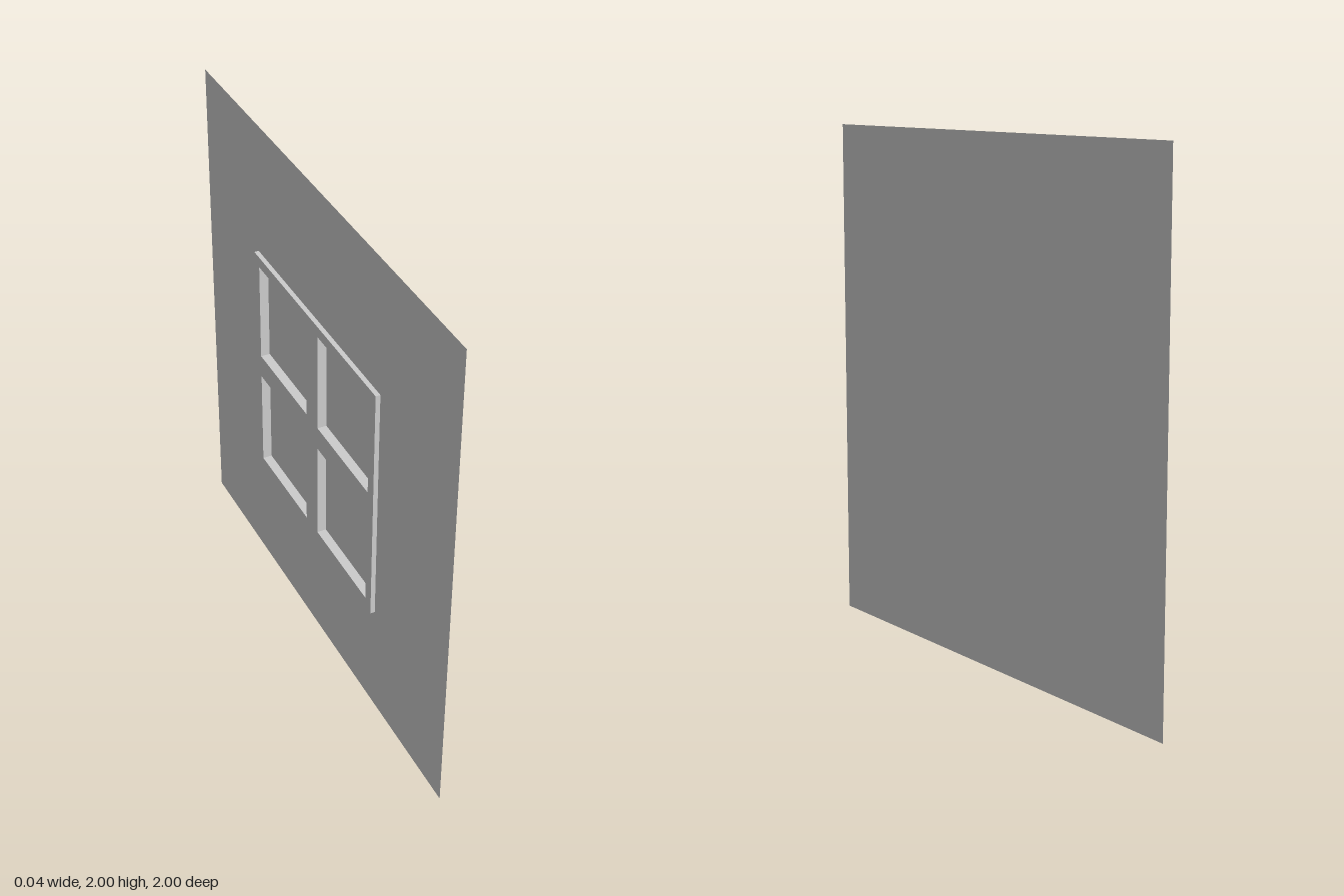
import * as THREE from 'three';

const DEPTH = 0.018;   // half of the total thickness
const FRAME = 0.495;   // half size of the window frame
const PANE = 0.405;    // side of one pane opening
const OFFSET = 0.25;   // pane centre from window centre

// Square outline centred on (x, y)
function square(PathType, x, y, half) {
  const corners = [[-1, -1], [1, -1], [1, 1], [-1, 1]];
  return new PathType(corners.map(([a, b]) => new THREE.Vector2(x + a * half, y + b * half)));
}

export function createModel() {
  const group = new THREE.Group();
  const wallMaterial = new THREE.MeshStandardMaterial({ color: 0xcccccc, side: THREE.DoubleSide });
  const frameMaterial = new THREE.MeshStandardMaterial({ color: 0xcccccc, flatShading: true });
  const revealMaterial = new THREE.MeshStandardMaterial({ color: 0xcccccc, flatShading: true, side: THREE.BackSide });

  const add = (name, geometry, material, x, y, z) => {
    const mesh = new THREE.Mesh(geometry, material);
    mesh.name = name;
    mesh.position.set(x, y, z);
    group.add(mesh);
  };

  // Thin wall panel, which also closes the panes
  add('wallPanel', new THREE.PlaneGeometry(2, 2).rotateY(Math.PI / 2), wallMaterial, DEPTH, 1, 0);

  // Raised frame with four openings, standing out towards -x
  const shape = square(THREE.Shape, 0, 0, FRAME);

  // Inward-facing reveal running from the frame to the panel
  const reveal = new THREE.CylinderGeometry(PANE / Math.SQRT2, PANE / Math.SQRT2, DEPTH, 4, 1, true, Math.PI / 4)
    .rotateZ(Math.PI / 2);

  for (const a of [-OFFSET, OFFSET]) {
    for (const b of [-OFFSET, OFFSET]) {
      shape.holes.push(square(THREE.Path, a, b, PANE / 2));
      add('paneReveal', reveal, revealMaterial, DEPTH / 2, 1 + b, a);
    }
  }
  const frame = new THREE.ExtrudeGeometry(shape, { depth: DEPTH, bevelEnabled: false }).rotateY(-Math.PI / 2);
  add('windowFrame', frame, frameMaterial, 0, 1, 0);

  return group;
}
